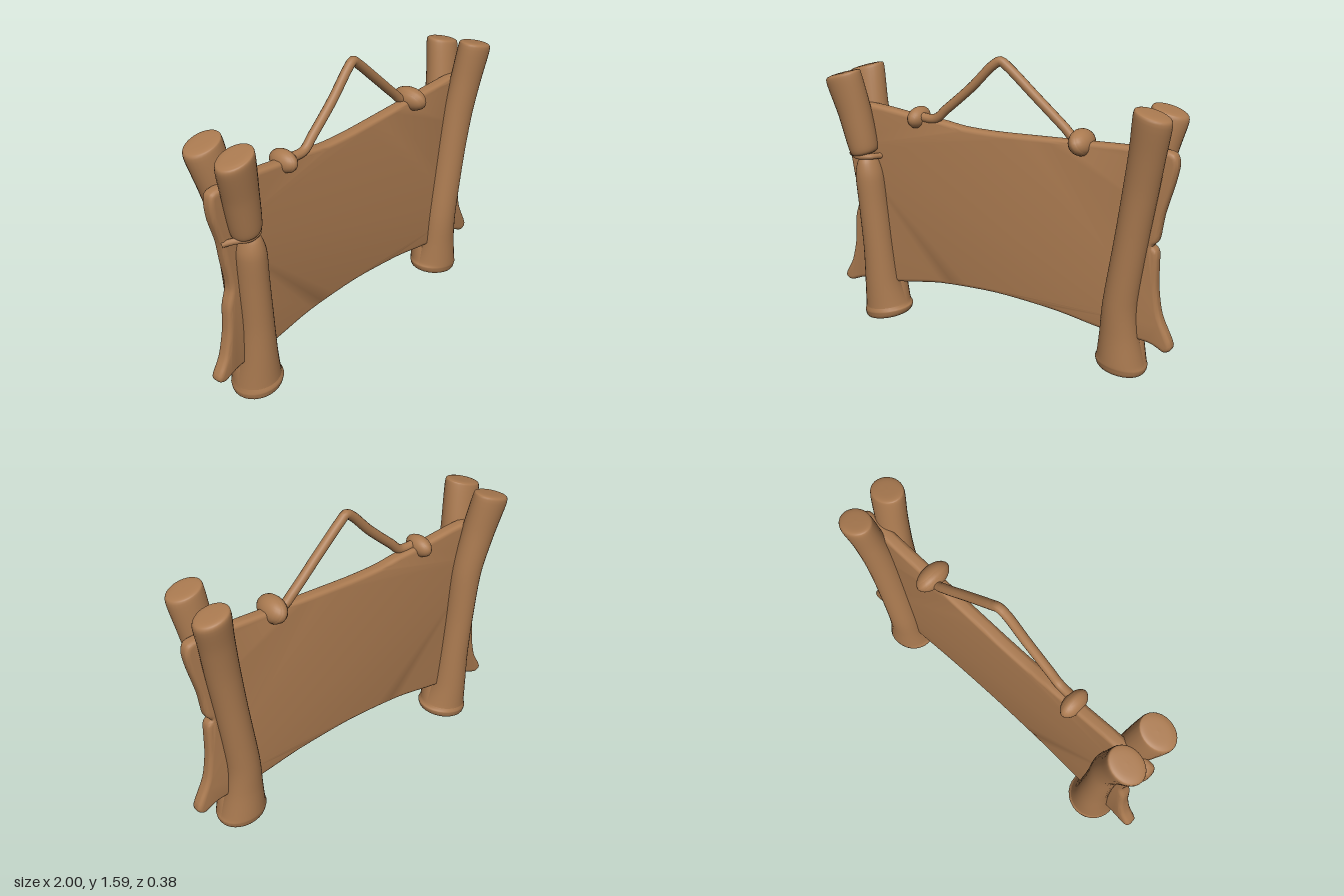
import * as THREE from 'three';
import { toCreasedNormals } from 'three/addons/utils/BufferGeometryUtils.js';

const wood = new THREE.MeshStandardMaterial({ color: 0xaa7a50 });
wood.name = 'brown wood';

const V = (x, y, z) => new THREE.Vector3(x, y, z);

// Smooth log through sections [x, y, z, radiusX, radiusZ, slope of the section along x]
function log(sections, rows = 48, segs = 28) {
  const centre = new THREE.CatmullRomCurve3(sections.map(s => V(s[0], s[1], s[2])), false, 'catmullrom', 0.4);
  const size = new THREE.CatmullRomCurve3(sections.map(s => V(s[3], s[4], s[5])), false, 'catmullrom', 0.4);
  const pos = [], index = [];
  for (let j = 0; j <= rows; j++) {
    const c = centre.getPoint(j / rows), r = size.getPoint(j / rows);
    for (let i = 0; i < segs; i++) {
      const a = (i / segs) * Math.PI * 2, dx = Math.cos(a) * r.x;
      pos.push(c.x + dx, c.y + dx * r.z, c.z + Math.sin(a) * r.y);
      if (j === rows) continue;
      const p = j * segs + i, q = j * segs + (i + 1) % segs;
      index.push(p, p + segs, q, q, p + segs, q + segs);
    }
  }
  const g = new THREE.BufferGeometry();
  g.setAttribute('position', new THREE.Float32BufferAttribute(pos, 3));
  g.setIndex(index);
  g.computeVertexNormals();
  return g;
}

// Rounded end caps shared by the logs
const capStart = (x, y, z, rx, rz, s) => [[x, y, z, 0, 0, s], [x, y, z, rx * 0.85, rz * 0.85, s], [x, y + 0.035, z, rx, rz, s]];
const capEnd = (x, y, z, rx, rz, s) => [[x, y - 0.03, z, rx, rz, s], [x, y, z, rx * 0.8, rz * 0.8, s], [x, y + 0.004, z, 0, 0, s]];

export function createModel() {
  const group = new THREE.Group();
  const add = (name, geometry) => {
    const mesh = new THREE.Mesh(geometry, wood);
    mesh.name = name;
    group.add(mesh);
    return mesh;
  };

  // Board with ragged flaps reaching out between the posts
  const outline = [
    [-0.95, 1.25], [-0.75, 1.258], [-0.5, 1.235], [-0.33, 1.225], [-0.2, 1.21], [0, 1.21], [0.4, 1.232], [0.7, 1.25], [0.94, 1.255],
    [0.98, 1.2], [0.965, 1.1], [0.92, 0.93], [0.9, 0.8], [0.875, 0.765], [0.9, 0.73], [0.905, 0.55], [0.93, 0.4],
    [0.998, 0.25], [0.96, 0.21], [0.87, 0.245], [0.62, 0.26], [0.35, 0.3], [0, 0.32], [-0.35, 0.3], [-0.62, 0.25], [-0.85, 0.23],
    [-0.96, 0.19], [-1, 0.22], [-0.95, 0.32], [-0.92, 0.45], [-0.91, 0.6], [-0.885, 0.7], [-0.91, 0.85], [-0.93, 0.97], [-0.97, 1.1], [-0.98, 1.2],
  ].map(p => V(p[0], p[1], 0));
  const edge = new THREE.CatmullRomCurve3(outline, true, 'catmullrom', 0.4).getPoints(144).slice(0, -1);
  const board = new THREE.ExtrudeGeometry(new THREE.Shape(edge.map(p => new THREE.Vector2(p.x, p.y))), {
    depth: 0.026, bevelThickness: 0.022, bevelSize: 0.022, bevelOffset: -0.022, bevelSegments: 4,
  });
  board.translate(0, 0, -0.013);
  add('board', toCreasedNormals(board, 0.8));

  // Right and left post pairs, joined at the foot and leaning apart at the top
  for (const z of [1, -1]) {
    const front = z > 0;
    add(front ? 'leftFrontPost' : 'leftBackPost', log([
      ...capStart(0.725, 0.065, z * 0.005, 0.135, 0.12, -0.14),
      [0.725, 0.13, z * 0.01, 0.125, 0.118, -0.12], [0.72, 0.27, z * 0.035, 0.1, 0.09, 0],
      [0.725, 0.45, z * 0.045, 0.088, 0.085, 0], [0.775, 0.8, z * 0.05, 0.085, 0.085, 0],
      [0.815, 1.05, z * 0.062, 0.087, 0.083, -0.1], [0.85, 1.25, z * 0.085, 0.089, 0.08, -0.2],
      ...capEnd(0.878, front ? 1.455 : 1.425, z * 0.108, 0.095, 0.08, -0.25),
    ]));
  }

  const leftFoot = [
    ...capStart(-0.72, 0.035, 0, 0.135, 0.135, 0.19),
    [-0.725, 0.1, 0, 0.125, 0.13, 0.15], [-0.735, 0.25, 0.03, 0.1, 0.1, 0],
    [-0.745, 0.45, 0.045, 0.085, 0.085, 0], [-0.765, 0.7, 0.05, 0.08, 0.085, 0],
  ];
  const leftHead = [
    [-0.845, 1.22, 0.08, 0.09, 0.085, 0.25],
    ...capEnd(-0.888, 1.435, 0.105, 0.1, 0.083, 0.3),
  ];
  const back = s => [s[0], s[1], -s[2], s[3], s[4], s[5]];

  // Whole back post, and front post snapped in two
  add('rightBackPost', log([...leftFoot, [-0.79, 0.98, 0.06, 0.083, 0.085, 0.1], ...leftHead].map(back)));
  add('rightFrontPostLower', log([
    ...leftFoot, [-0.778, 0.87, 0.057, 0.076, 0.083, 0], [-0.782, 0.95, 0.058, 0.055, 0.068, 0],
    [-0.785, 0.99, 0.058, 0.03, 0.04, 0], [-0.785, 0.992, 0.058, 0, 0, 0],
  ]));
  add('rightFrontPostUpper', log([
    [-0.805, 0.985, 0.06, 0, 0, 0.25], [-0.805, 0.988, 0.06, 0.055, 0.06, 0.25],
    [-0.808, 1.025, 0.064, 0.078, 0.08, 0.25], ...leftHead,
  ]));

  // Splinter twisted across the break
  add('splinter', new THREE.TubeGeometry(new THREE.CatmullRomCurve3([
    V(-0.92, 0.96, 0.02), V(-0.88, 0.975, 0.06), V(-0.82, 0.98, 0.105), V(-0.75, 0.985, 0.09), V(-0.72, 0.98, 0.03),
  ]), 24, 0.016, 10));

  // Hanging cord with a bend at the peak
  add('cord', new THREE.TubeGeometry(new THREE.CatmullRomCurve3([
    V(-0.5, 1.235, 0.015), V(-0.37, 1.235, 0.02), V(-0.3, 1.295, 0.018), V(-0.15, 1.43, 0.012), V(-0.03, 1.555, 0.005), V(0.012, 1.58, 0),
    V(0.05, 1.555, -0.004), V(0.2, 1.425, -0.012), V(0.36, 1.285, -0.022), V(0.42, 1.235, -0.02), V(0.5, 1.235, -0.01),
  ]), 80, 0.025, 12));

  // Knots wrapped round the board's top edge
  for (const [name, x, y, s, tilt] of [['rightKnot', -0.485, 1.222, 0.92, -0.15], ['leftKnot', 0.47, 1.228, 1.08, 0.5]]) {
    const knot = new THREE.Group();
    knot.name = name;
    const core = new THREE.Mesh(new THREE.SphereGeometry(1, 24, 16), wood);
    core.name = 'knotCore';
    core.scale.set(0.054, 0.062, 0.092);
    const loop = new THREE.Mesh(new THREE.TorusGeometry(0.042, 0.025, 12, 28), wood);
    loop.name = 'knotLoop';
    loop.rotation.y = Math.PI / 2;
    loop.scale.set(1.4, 0.95, 1.2);
    knot.add(core, loop);
    knot.position.set(x, y, 0);
    knot.rotation.z = tilt;
    knot.scale.setScalar(s);
    group.add(knot);
  }
  return group;
}
